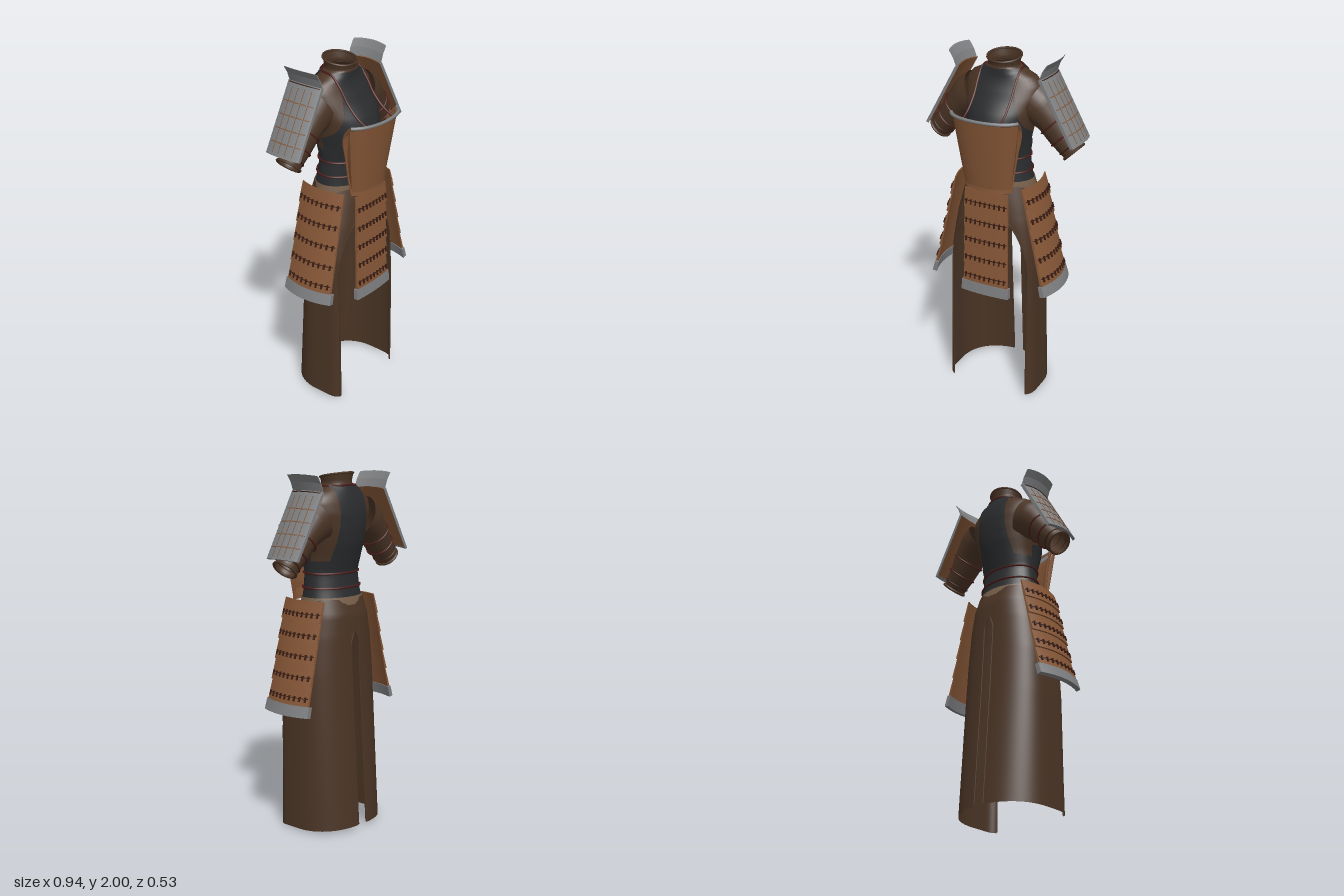
import * as THREE from 'three';
import { mergeGeometries, toCreasedNormals } from 'three/addons/utils/BufferGeometryUtils.js';

const V = (x, y, z) => new THREE.Vector3(x, y, z);
const mat = (name, color) => new THREE.MeshStandardMaterial({ name, color, side: THREE.DoubleSide });

// piecewise-linear lookup in rows of [key, a, b, ...], keys ascending
function look(rows, k) {
  let i = 0;
  while (i < rows.length - 2 && k > rows[i + 1][0]) i++;
  const a = rows[i], b = rows[i + 1];
  const f = THREE.MathUtils.clamp((k - a[0]) / (b[0] - a[0]), 0, 1);
  return a.slice(1).map((n, j) => n + (b[j + 1] - n) * f);
}

// surface from a point rule fn(u, v), u and v in 0..1
function grid(fn, nu, nv, crease = 0) {
  const pos = [], idx = [];
  for (let j = 0; j <= nv; j++) for (let i = 0; i <= nu; i++) pos.push(...fn(i / nu, j / nv).toArray());
  for (let j = 0; j < nv; j++) for (let i = 0; i < nu; i++) {
    const a = j * (nu + 1) + i, b = a + 1, c = a + nu + 1, d = c + 1;
    idx.push(a, b, d, a, d, c);
  }
  const g = new THREE.BufferGeometry();
  g.setAttribute('position', new THREE.Float32BufferAttribute(pos, 3));
  g.setIndex(idx);
  g.computeVertexNormals();
  return crease ? toCreasedNormals(g, crease) : g;
}

// thin closed plate lying on a panel rule P(u, t, out)
function slab(P, u0, u1, t0, t1, back, top, bottom = top, n = 8) {
  const prof = [[t0, back], [t0, top], [t1, bottom], [t1, back], [t0, back]];
  const mid = [(t0 + t1) / 2, (back + top) / 2];
  return grid((i, j) => {
    const k = Math.round(i * (n + 2));
    const u = u0 + (u1 - u0) * THREE.MathUtils.clamp((k - 1) / n, 0, 1);
    const [t, o] = k === 0 || k === n + 2 ? mid : prof[Math.round(j * 4)];
    return P(u, t, o);
  }, n + 2, 4, 0.6);
}

const tube = (pts, r, closed = false) =>
  new THREE.TubeGeometry(new THREE.CatmullRomCurve3(pts, closed), pts.length * 3, r, 6, closed);

// torso sections: y, half width, centre z, depth to front, depth to back
const TORSO = [
  [1.28, .19, -.02, .13, .14], [1.36, .175, -.02, .125, .12], [1.45, .165, -.02, .125, .11],
  [1.55, .172, -.03, .18, .13], [1.62, .185, -.04, .21, .14], [1.70, .205, -.05, .19, .14],
  [1.78, .225, -.06, .145, .13], [1.84, .222, -.065, .112, .11], [1.88, .19, -.065, .095, .095],
  [1.91, .13, -.06, .09, .085], [1.935, .09, -.055, .083, .08]];
function torso(th, y, o = 0) {
  const [rx, cz, f, b] = look(TORSO, y), c = Math.cos(th);
  return V((rx + o) * Math.sin(th), y + (y > 1.8 ? o * .7 : 0), cz + ((c > 0 ? f : b) + o) * c);
}
const ring = (y, o, n = 24) => Array.from({ length: n }, (_, i) => torso(i / n * Math.PI * 2, y, o));

// skirt sections: y, half width, front z, back z, front squareness
const SKIRT = [[0, .278, .15, -.26, 6], [.65, .265, .15, -.217, 6], [.9, .255, .15, -.203, 5],
  [1.1, .235, .148, -.195, 3], [1.22, .212, .135, -.188, 2.3], [1.31, .19, .118, -.16, 2]];
const archX = y => y < .75 ? .24 : y < 1.15 ? .24 * Math.sqrt(1 - ((y - .75) / .4) ** 2) : 0;
const slitX = y => y < 1.05 ? .032 : y < 1.12 ? .032 * Math.sqrt(1 - ((y - 1.05) / .07) ** 2) : 0;
function skirt(s, u, y) {
  const [a, zf, zb, nf] = look(SKIRT, y), nb = 2.3;
  const start = Math.asin(Math.min(1, (slitX(y) / a) ** (nb / 2)));
  const end = Math.PI - Math.asin(Math.min(1, (archX(y) / a) ** (nf / 2)));
  const th = start + (end - start) * u, front = th > Math.PI / 2, n = front ? nf : nb;
  const c = Math.abs(Math.cos(th)) ** (2 / n);
  return V(s * a * Math.abs(Math.sin(th)) ** (2 / n), y + .022 * (1 - u) * (1 - y / 1.31), -.02 + ((front ? zf : zb) + .02) * c * 1);
}
const skirtZ = (s, u, y) => skirt(s, u, y);

// sleeve sections: t, x, y, tilt, radius across, radius in z
const SLEEVE = [[0, .175, 1.745, .45, .122, .11], [.2, .22, 1.722, .65, .112, .108], [.42, .28, 1.665, .8, .088, .095],
  [.7, .34, 1.585, .8, .079, .08], [1, .418, 1.495, .8, .062, .064]];
function sleeve(s, a, t, o = 0) {
  const [x, y, tilt, r, rz] = look(SLEEVE, t), q = (r + o) * Math.cos(a);
  return V(s * (x + q * Math.sin(tilt)), y + q * Math.cos(tilt), -.068 + (rz + o) * Math.sin(a));
}

// curved panel rules: u across -1..1, t from top to bottom, o outward
const PAD = [[0, .288, 1.985], [.09, .262, 1.945], [.19, .245, 1.9], [1, .44, 1.55]];
const padRule = s => (u, t, o) => {
  const [x, y] = look(PAD, t), b = o + .022 * (1 - u * u);
  return V(s * (x + b * .87), y + b * .3, -.08 + .11 * u);
};
const sideRule = s => (u, t, o) =>
  V(s * (.203 + .142 * t + .03 * (1 - u * u) + o * .97), 1.31 - .62 * t + o * .2, -.008 + u * (.145 + .008 * t));
const frontRule = (u, t, o) => V(u * (.133 + .006 * t), 1.27 - .63 * t, .156 + .014 * t + .008 * (1 - u * u) + o);
const CHEST = [[0, .2, .258, .08], [.1, .195, .222, .085], [.24, .188, .2, .08], [.5, .165, .19, .07],
  [.75, .15, .183, .06], [1, .14, .188, .05]];
const chestRule = (u, t, o) => {
  const [w, z, d] = look(CHEST, t);
  return V(w * Math.sin(u * 1.2) / Math.sin(1.2) + o * Math.sin(u * .8), 1.7 - .42 * t, z - d * u * u + o * Math.cos(u * .8));
};

export function createModel() {
  const model = new THREE.Group();
  const cloth = mat('brownCloth', 0x4a3425), black = mat('blackLeather', 0x2a2b2d), tan = mat('tanLeather', 0x855636);
  const steel = mat('greySteel', 0x7e7f81), red = mat('darkRedCord', 0x4c1b19), knot = mat('darkLacing', 0x3a1d14);
  const belt = mat('waistLinen', 0x77604a);
  const add = (name, geo, m, parent = model) => {
    const mesh = new THREE.Mesh(Array.isArray(geo) ? mergeGeometries(geo) : geo, m);
    mesh.name = name;
    parent.add(mesh);
  };
  const TAU = Math.PI * 2;

  // robe body and collar
  add('robeTorso', grid((u, v) => torso(u * TAU, 1.28 + .655 * v), 40, 36), cloth);
  const collarPt = (a, v) => {
    const r = .002 + .012 * Math.abs(v - .35), z = Math.cos(a) * (.08 + r);
    return V(Math.sin(a) * (.084 + r), 1.925 + .055 * v - z * .17 * v, -.055 + z);
  };
  add('collar', grid((u, v) => collarPt(u * TAU, v), 32, 6), cloth);
  add('collarRim', tube(Array.from({ length: 24 }, (_, i) => collarPt(i / 24 * TAU, 1)), .006, true), cloth);

  // black corset and bib
  add('corset', grid((u, v) => torso(u * TAU, 1.3 + .22 * v, .006), 40, 10), black);
  const bib = (back, rows) => grid((u, v) => {
    const y = 1.5 + .425 * v, [rx] = look(TORSO, y);
    return torso((u * 2 - 1) * Math.asin(Math.min(1, look(rows, y)[0] / rx)) + back, y, .007);
  }, 20, 24);
  add('bibFront', bib(0, [[1.5, .18], [1.6, .18], [1.72, .14], [1.8, .115], [1.93, .1]]), black);
  add('bibBack', bib(Math.PI, [[1.5, .12], [1.7, .1], [1.93, .1]]), black);
  add('waistBand', grid((u, v) => torso(u * TAU, 1.275 + .045 * v, .012), 40, 2), belt);
  for (const y of [1.37, 1.45]) add('waistCord', tube(ring(y, .011), .006, true), red);

  // shoulder cords running behind the neck
  const half = [[.11, 1.68, .225], [.11, 1.71, .165], [.11, 1.78, .09], [.112, 1.87, .03], [.112, 1.92, -.02], [.103, 1.925, -.08], [.07, 1.925, -.13]];
  const strap = [...half.map(p => V(...p)), V(0, 1.93, -.148), ...half.map(p => V(-p[0], p[1], p[2])).reverse()];
  add('shoulderCord', tube(strap, .006), red);

  // chest armour with rounded lames
  add('chestBacking', slab(chestRule, -1, 1, .02, 1, -.008, 0, 0, 20), tan);
  add('chestShell', grid((u, v) => chestRule(u * 2 - 1, v, .004), 24, 20), tan);
  for (let i = 0; i < 6; i++) {
    const t0 = .215 + i * .1;
    add('chestLame', grid((u, v) => chestRule((u * 2 - 1) * .84, t0 + v * .096, .004 + .012 * Math.sin(v * Math.PI * .8 + .2)), 20, 6), steel);
  }
  add('chestUpperPlate', slab(chestRule, -.72, .72, .08, .18, 0, .009, .009, 16), steel);
  for (const s of [-1, 1]) add('chestTab', slab(chestRule, s * .5, s * .56, .09, .22, 0, .014), tan);
  add('chestRim', tube(Array.from({ length: 21 }, (_, i) => chestRule(i / 10 - 1, 0, 0)), .01), steel);
  for (const s of [-1, 1]) add('chestSideRim', tube(Array.from({ length: 9 }, (_, i) => chestRule(s, i / 8, 0)), .007), tan);

  // laced skirt plates
  const tasset = (name, P, parent) => {
    const rows = 5, plates = [], ties = [];
    for (let r = 0; r < rows; r++) {
      const t0 = r * .18, t1 = t0 + .185;
      plates.push(slab(P, -1, 1, t0, t1, -.004, .003, .013));
      ties.push(slab(P, -.97, .97, t0 + .112, t0 + .118, .004, .013));
      for (let k = 0; k < 9; k++) {
        const u = -.88 + k * .22;
        ties.push(slab(P, u - .025, u + .025, t0 + .1, t0 + .145, .004, .017, .019, 1));
      }
    }
    add(name, plates, tan, parent);
    add(name + 'Lacing', ties, knot, parent);
    add(name + 'Edge', slab(P, -1.07, 1.07, .9, 1, -.008, .015, .02), steel, parent);
  };
  tasset('frontTasset', frontRule, model);

  for (const s of [-1, 1]) {
    const side = new THREE.Group();
    side.name = s > 0 ? 'leftSide' : 'rightSide';
    model.add(side);

    // skirt half with front arch and back slit
    add('skirtHalf', grid((u, v) => skirtZ(s, u, 1.31 * v), 40, 72), cloth, side);
    add('skirtFrontHem', tube(Array.from({ length: 24 }, (_, i) => skirtZ(s, 1, .006 + i * .0495)), .005), cloth, side);
    add('skirtBackHem', tube(Array.from({ length: 20 }, (_, i) => skirtZ(s, 0, .006 + i * .0585)), .004), cloth, side);
    tasset('sideTasset', sideRule(s), side);

    // sleeve with cords and cuff
    add('sleeve', grid((u, v) => sleeve(s, u * TAU, v), 28, 20), cloth, side);
    const loop = (t, o) => Array.from({ length: 16 }, (_, i) => sleeve(s, i / 16 * TAU, t, o));
    add('cuff', tube(loop(.985, .002), .008, true), cloth, side);
    for (const t of [.5, .74]) add('sleeveCord', tube(loop(t, .003), .005, true), red, side);
    add('cuffCord', tube(loop(.9, .002), .004, true), knot, side);

    // shoulder guard
    const P = padRule(s);
    add('shoulderGuard', slab(P, -1, 1, .19, 1, 0, .008, .008, 14), steel, side);
    add('shoulderGuardFlare', [slab(P, -1, 1, 0, .09, 0, .008, .008, 14), slab(P, -1, 1, .09, .19, 0, .008, .008, 14)], steel, side);
    add('shoulderGuardLining', slab(P, -.98, .98, .19, .99, -.006, -.001, -.001, 14), tan, side);
    const laces = [];
    for (const t of [.4, .55, .7, .85]) {
      for (let k = 0; k < 5; k++) laces.push(slab(P, -.92 + k * .38, -.62 + k * .38, t, t + .01, .004, .011, .011, 2));
    }
    for (const u of [-.6, -.2, .2, .6]) laces.push(slab(P, u - .012, u + .012, .25, .97, .004, .01, .01, 2));
    add('shoulderGuardLacing', laces, tan, side);
    add('shoulderGuardTie', slab(P, -1, 1, .2, .21, .004, .012, .012, 14), knot, side);
    for (const e of [-1, 1]) add('shoulderGuardEdge', slab(P, e * .95, e * 1.02, .19, 1, -.006, .013, .013, 1), steel, side);
    add('shoulderGuardHem', slab(P, -1.02, 1.02, .97, 1.01, -.006, .013, .013, 14), steel, side);
  }
  return model;
}
